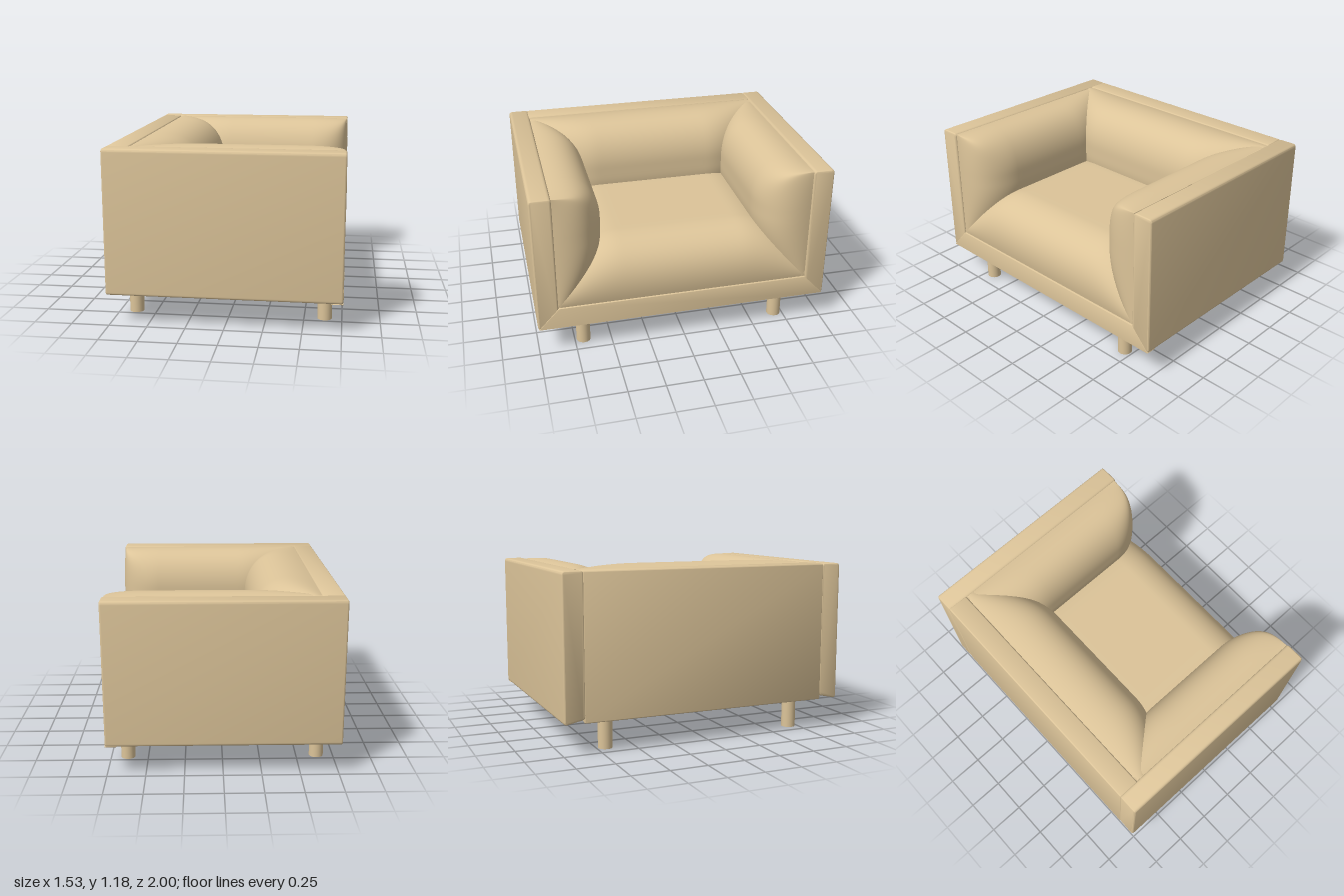
import * as THREE from 'three';
import { toCreasedNormals } from 'three/addons/utils/BufferGeometryUtils.js';

const fabric = new THREE.MeshStandardMaterial({ color: 0xdcc499, side: THREE.DoubleSide });

// Maps s in 0..1 along one cushion axis to a coordinate and height factors.
// A free edge rolls over in a swollen quarter round; a tucked edge only sags.
function profile(s, { from, to, free, radius = 0.27, swell = 0.045 }) {
  const length = to - from;
  const sag = (d) => (d < 0.45 ? 1 - 0.6 * (1 - d / 0.45) ** 2 : 1);
  if (!free) {
    return { at: from + s * length, sag: sag(Math.min(s, 1 - s) * length), roll: 1, swell: 0 };
  }
  if (s <= 0.5) {
    const d = 2 * s * (length - radius);
    return { at: from + d, sag: sag(d), roll: 1, swell: 0 };
  }
  const angle = (1 - s) * Math.PI;
  return {
    at: to - radius * (1 - Math.cos(angle)),
    sag: 1,
    roll: Math.max(Math.sin(angle), 1e-4),
    swell: swell * Math.sin(2 * angle),
  };
}

// Padded surface over a rectangle; place(a, b, h) puts it in the model.
function cushion(name, a, b, thickness, place) {
  const geometry = new THREE.PlaneGeometry(1, 1, 56, 56);
  const pos = geometry.attributes.position;
  for (let i = 0; i < pos.count; i++) {
    const pa = profile(pos.getX(i) + 0.5, a);
    const pb = profile(pos.getY(i) + 0.5, b);
    // Soft minimum, so two rolled edges meet in a full corner
    const roll = (pa.roll ** -4 + pb.roll ** -4 - 1) ** -0.25;
    const p = place(
      pa.at + pa.swell * pb.sag * pb.roll,
      pb.at + pb.swell * pa.sag * pa.roll,
      thickness * pa.sag * pb.sag * roll,
    );
    pos.setXYZ(i, ...p);
  }
  geometry.computeVertexNormals();
  const mesh = new THREE.Mesh(geometry, fabric);
  mesh.name = name;
  return mesh;
}

// Extrudes a [z, y] outline with softened corners along x, with softened ends.
function extrudeAlongX(name, points, x0, x1, soft) {
  const corners = points.map(([z, y]) => new THREE.Vector2(-z, y));
  const shape = new THREE.Shape();
  corners.forEach((corner, i) => {
    const towards = (other) => other.clone().sub(corner).setLength(soft).add(corner);
    const start = towards(corners.at(i - 1));
    const end = towards(corners[(i + 1) % corners.length]);
    if (i === 0) shape.moveTo(start.x, start.y);
    else shape.lineTo(start.x, start.y);
    shape.quadraticCurveTo(corner.x, corner.y, end.x, end.y);
  });
  shape.closePath();
  const bevel = soft / 2;
  const extruded = new THREE.ExtrudeGeometry(shape, {
    depth: x1 - x0 - 2 * bevel,
    curveSegments: 5,
    bevelThickness: bevel,
    bevelSize: bevel,
    bevelOffset: -bevel,
    bevelSegments: 4,
  });
  const geometry = toCreasedNormals(extruded, Math.PI / 5);
  geometry.rotateY(Math.PI / 2);
  geometry.translate(x0 + bevel, 0, 0);
  const mesh = new THREE.Mesh(geometry, fabric);
  mesh.name = name;
  return mesh;
}

// Upright wall outline whose underside slopes up towards the inside
const wall = (outer, inner) => [[outer, 0.2], [outer, 1.157], [inner, 1.157], [inner, 0.23]];

export function createModel() {
  const model = new THREE.Group();
  model.name = 'armchair';

  // Side and back panels
  model.add(extrudeAlongX('leftSidePanel', wall(1, 0.858), -0.767, 0.756, 0.024));
  model.add(extrudeAlongX('rightSidePanel', wall(-1, -0.858), -0.767, 0.756, 0.024));
  const back = extrudeAlongX('backPanel', wall(0.767, 0.62), -0.866, 0.866, 0.016);
  back.rotation.y = -Math.PI / 2;
  model.add(back);

  // Front rail, mitred over the side panels, and the base behind it
  model.add(extrudeAlongX('frontRail', [
    [-0.998, 0.2], [0.998, 0.2], [0.858, 0.352], [-0.858, 0.352],
  ], 0.68, 0.758, 0.008));
  const base = new THREE.Mesh(new THREE.BoxGeometry(1.38, 0.12, 1.74), fabric);
  base.name = 'base';
  base.position.set(0.03, 0.288, 0);
  model.add(base);

  // Cushions: rolled at the front and top, tucked into each other elsewhere
  const depth = { from: -0.62, to: 0.745, free: true };
  const height = { from: 0.352, to: 1.15, free: true };
  const width = { from: -0.858, to: 0.858, free: false };
  model.add(cushion('seatCushion', width, depth, 0.395, (z, x, h) => [x, 0.35 + h, z]));
  model.add(cushion('backCushion', { ...height, swell: 0.065 }, width, 0.42,
    (y, z, h) => [-0.62 + h, y, z]));
  model.add(cushion('leftArmCushion', height, depth, 0.335, (y, x, h) => [x, y, 0.86 - h]));
  model.add(cushion('rightArmCushion', depth, height, 0.335, (x, y, h) => [x, y, -0.86 + h]));

  // Legs
  const legGeometry = new THREE.CylinderGeometry(0.048, 0.048, 0.24, 24);
  for (const x of [-0.638, 0.636]) {
    for (const z of [-0.69, 0.69]) {
      const leg = new THREE.Mesh(legGeometry, fabric);
      leg.name = `${x > 0 ? 'front' : 'back'}${z > 0 ? 'Left' : 'Right'}Leg`;
      leg.position.set(x, 0.12, z);
      model.add(leg);
    }
  }
  return model;
}
